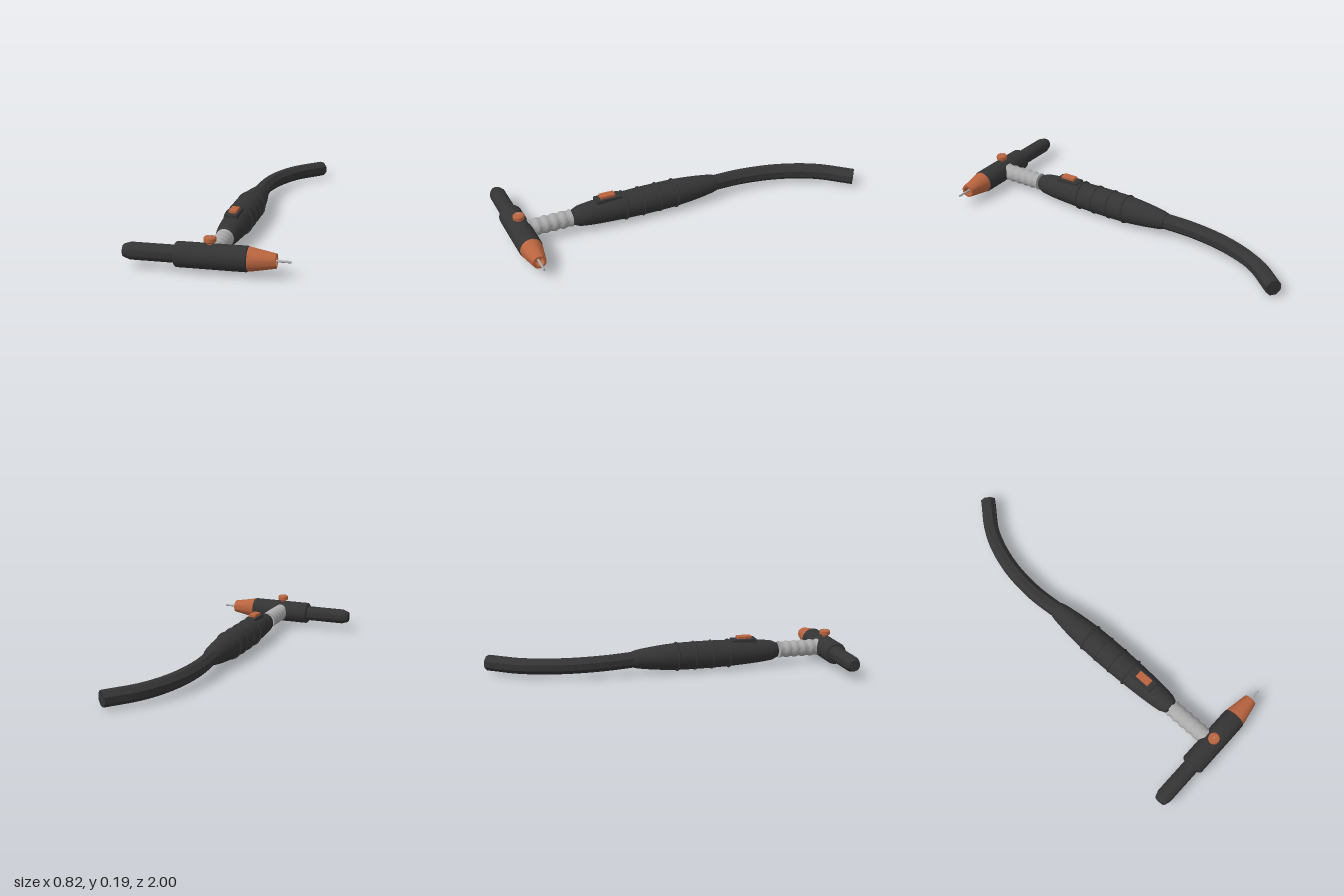
import * as THREE from 'three';
import { toCreasedNormals } from 'three/addons/utils/BufferGeometryUtils.js';
import { RoundedBoxGeometry } from 'three/addons/geometries/RoundedBoxGeometry.js';

const CX = 0.02, CY = 0.086, HEAD_Z = 0.935;

export function createModel() {
  const rubber = new THREE.MeshStandardMaterial({ name: 'dark rubber', color: 0x343434 });
  const copper = new THREE.MeshStandardMaterial({ name: 'copper', color: 0xb9643f });
  const steel = new THREE.MeshStandardMaterial({ name: 'pale steel', color: 0xaaaaaa });
  const group = new THREE.Group();

  function add(name, geometry, material, x = 0, y = 0, z = 0) {
    const mesh = new THREE.Mesh(geometry, material);
    mesh.name = name;
    mesh.position.set(x, y, z);
    group.add(mesh);
    return mesh;
  }

  // Turned part: profile holds [radius, position along axis] pairs, ascending
  function turned(profile, axis, sides = 28) {
    const g = new THREE.LatheGeometry(profile.map(p => new THREE.Vector2(p[0], p[1])), sides);
    if (axis === 'x') g.rotateZ(-Math.PI / 2);
    if (axis === 'z') g.rotateX(Math.PI / 2);
    return toCreasedNormals(g, 0.5);
  }

  // Head: long cap, body, hollow nozzle and electrode, all along x
  add('backCap', turned([[0, -0.41], [0.03, -0.41], [0.034, -0.402], [0.0435, -0.372], [0.0435, -0.14], [0, -0.14]], 'x'),
    rubber, 0, CY, HEAD_Z);
  add('headBody', turned([[0, -0.152], [0.05, -0.152], [0.057, -0.149], [0.062, -0.144], [0.063, -0.137],
    [0.063, 0.197], [0.062, 0.204], [0.057, 0.209], [0.05, 0.212], [0, 0.212]], 'x'), rubber, 0, CY, HEAD_Z);
  add('nozzle', turned([[0, 0.205], [0.059, 0.205], [0.059, 0.215], [0.036, 0.341], [0.025, 0.341], [0.025, 0.3], [0, 0.3]], 'x'),
    copper, 0, CY, HEAD_Z);
  add('electrode', turned([[0, 0.29], [0.006, 0.29], [0.006, 0.41], [0, 0.41]], 'x', 12), steel, 0, CY, HEAD_Z);

  // Valve knob on top of the head
  add('knobStem', turned([[0, 0.13], [0.015, 0.13], [0.015, 0.165], [0, 0.165]], 'y', 16), copper, CX, 0, HEAD_Z);
  add('valveKnob', turned([[0, 0.156], [0.026, 0.156], [0.031, 0.161], [0.031, 0.178], [0.026, 0.184], [0, 0.184]], 'y', 16),
    copper, CX, 0, HEAD_Z);
  add('knobPin', new THREE.CylinderGeometry(0.004, 0.004, 0.02, 10), steel, CX, 0.181, HEAD_Z);

  // Ribbed flexible neck
  const neck = [[0, 0.641], [0.02, 0.641], [0.02, 0.652]];
  for (let i = 0; i <= 40; i++) {
    neck.push([0.0455 + 0.003 * Math.cos(i / 40 * Math.PI * 10), 0.652 + i * 0.006]);
  }
  neck.push([0, 0.892]);
  add('flexibleNeck', turned(neck, 'z'), steel, CX, CY, 0);

  // Handle: smooth swelling grip, with raised rings
  const curve = new THREE.SplineCurve([[0.056, 0.608], [0.064, 0.54], [0.071, 0.43], [0.076, 0.3], [0.0775, 0.18],
    [0.075, 0.04], [0.066, -0.07], [0.053, -0.17], [0.044, -0.205]].reverse().map(p => new THREE.Vector2(...p)));
  const grip = curve.getPoints(28).map(p => [p.x, p.y]);
  add('handle', turned([[0, -0.208], [0.04, -0.208], ...grip, [0.041, 0.642], [0, 0.642]], 'z'), rubber, CX, CY, 0);
  for (const z of [0.05, 0.15, 0.25, 0.35]) {
    add('gripRing', new THREE.TorusGeometry(0.076, 0.006, 8, 32), rubber, CX, CY, z);
  }

  // Switch on the handle
  add('switchBase', new RoundedBoxGeometry(0.064, 0.04, 0.144, 2, 0.006), rubber, CX, 0.147, 0.44);
  add('switchButton', new RoundedBoxGeometry(0.042, 0.036, 0.084, 2, 0.004), copper, CX, 0.164, 0.443);

  // Eight-sided cable sweeping back and to the side
  const path = new THREE.CatmullRomCurve3([[0.02, 0.086, -0.17], [0.011, 0.077, -0.38], [0.041, 0.069, -0.6],
    [0.12, 0.063, -0.8], [0.257, 0.058, -0.972]].map(p => new THREE.Vector3(...p)));
  const octagon = new THREE.Shape(Array.from({ length: 8 }, (_, i) => {
    const a = (i + 0.5) * Math.PI / 4;
    return new THREE.Vector2(Math.cos(a) * 0.044, Math.sin(a) * 0.044);
  }));
  const cable = new THREE.ExtrudeGeometry(octagon, { steps: 32, extrudePath: path, bevelEnabled: false });
  add('cable', toCreasedNormals(cable, 0.4), rubber);

  return group;
}
